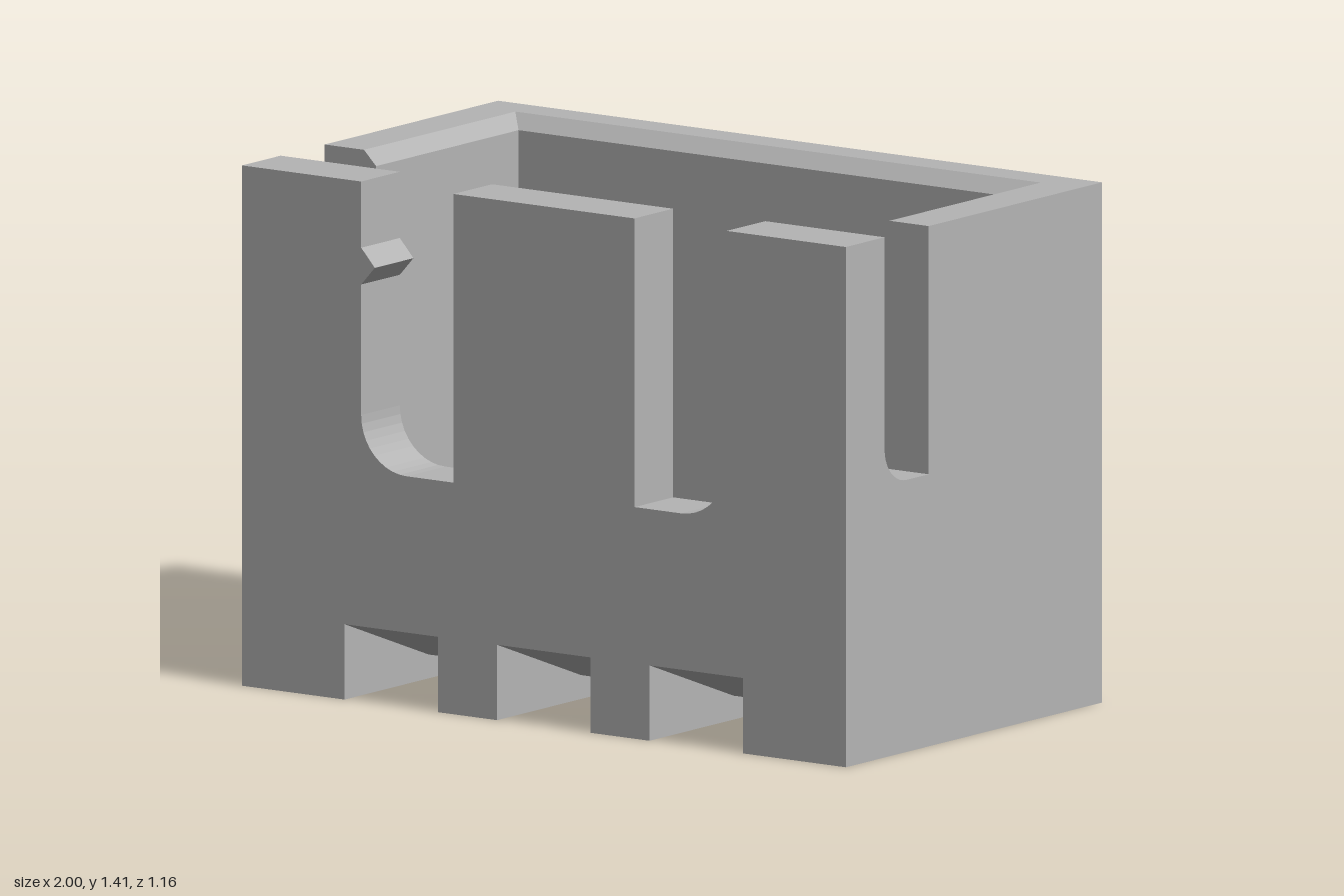
import * as THREE from 'three';

const W = 1, D = 0.58, H = 1.415;            // outer half width, half depth, height
const IN_X = 0.83, IN_BACK = -0.44, IN_FRONT = 0.405; // cavity limits
const CHAMFER = 0.04, FLOOR = 0.4, NOTCH = 0.205;
const HOLES = [-0.505, 0, 0.505];
const HOLE_W = 0.065, HOLE_Z0 = 0.035, HOLE_Z1 = 0.17;

// Points of a quarter-circle fillet
function arc(cx, cy, r, from, to, n = 10) {
  return Array.from({ length: n + 1 }, (_, i) => {
    const a = from + (to - from) * i / n;
    return [cx + r * Math.cos(a), cy + r * Math.sin(a)];
  });
}
const outline = (pts) => new THREE.Shape(pts.map(([x, y]) => new THREE.Vector2(x, y)));
const mirrored = (half) => [...half, ...half.map(([x, y]) => [-x, y]).reverse()];
const rectPts = (x0, x1, y0, y1) => [[x0, y0], [x1, y0], [x1, y1], [x0, y1]];
const extrude = (shape, depth) => new THREE.ExtrudeGeometry(shape, { depth, bevelEnabled: false });

// Outline in x,y extruded from z0 to z1
const alongZ = (pts, z0, z1) => extrude(outline(pts), z1 - z0).translate(0, 0, z0);
// Outline in z,y extruded from x0 to x1
const alongX = (pts, x0, x1) => extrude(outline(pts), x1 - x0).rotateY(-Math.PI / 2).translate(x1, 0, 0);

// Chamfered U-shaped rim: one cross-section per station, lofted and capped
function rimGeometry() {
  const y0 = H - CHAMFER;
  const section = (sx, back) => [
    [W, y0, -D], [W, H, -D],
    [IN_X + CHAMFER, H, IN_BACK - CHAMFER], [IN_X, y0, IN_BACK],
  ].map(([x, y, z]) => [sx * x, y, back ? z : 0.205]);
  const rings = [section(1, false), section(1, true), section(-1, true), section(-1, false)];
  const pos = [];
  const quad = (a, b, c, d) => [a, b, c, a, c, d].forEach((p) => pos.push(...p));
  for (let i = 0; i < 3; i++) {
    for (let j = 0; j < 4; j++) {
      const k = (j + 1) % 4;
      quad(rings[i][j], rings[i + 1][j], rings[i + 1][k], rings[i][k]);
    }
  }
  quad(...rings[0]);
  quad(...[...rings[3]].reverse());
  const g = new THREE.BufferGeometry();
  g.setAttribute('position', new THREE.Float32BufferAttribute(pos, 3));
  g.computeVertexNormals();
  return g;
}

export function createModel() {
  const model = new THREE.Group();
  model.name = 'connectorHousing';
  const grey = new THREE.MeshStandardMaterial({ color: 0xb4b4b4, side: THREE.DoubleSide });
  grey.name = 'grey plastic';
  const add = (name, geometry, parent = model) => {
    const mesh = new THREE.Mesh(geometry, grey);
    mesh.name = name;
    parent.add(mesh);
  };

  // Bottom notches shared by the front and back walls
  const notches = [
    [W, 0], [0.66, 0], [0.66, NOTCH], [0.35, NOTCH], [0.35, 0],
    [0.155, 0], [0.155, NOTCH],
  ];

  // Front wall with two latch slots, each with a small tooth
  add('frontWall', alongZ(mirrored([
    [0.3, H], [0.3, 0.63],
    ...arc(0.455, 0.78, 0.15, -Math.PI / 2, 0),
    [0.605, 1.135], [0.56, 1.185], [0.605, 1.235], [0.605, H],
    [W, H], ...notches,
  ]), IN_FRONT, D));

  // Back wall, up to the rim
  add('backWall', alongZ(mirrored([[W, H - CHAMFER], ...notches]), -D, IN_BACK));

  // Side walls with a slot next to the front wall
  const side = [
    [IN_BACK, 0], [IN_FRONT, 0],
    ...arc(IN_FRONT - 0.1, 0.84, 0.1, 0, -Math.PI / 2),
    [0.205, 0.74], [0.205, H - CHAMFER], [IN_BACK, H - CHAMFER],
  ];
  add('leftWall', alongX(side, IN_X, W));
  add('rightWall', alongX(side, -W, -IN_X));
  add('chamferedRim', rimGeometry());

  // Floor pierced by the pin holes
  const floor = outline(rectPts(-IN_X, IN_X, IN_BACK, IN_FRONT));
  for (const x of HOLES) {
    floor.holes.push(outline(rectPts(x - HOLE_W, x + HOLE_W, HOLE_Z0, HOLE_Z1)));
  }
  add('floor', extrude(floor, FLOOR - NOTCH).rotateX(Math.PI / 2).translate(0, FLOOR, 0));

  // Rails under the floor
  for (const [x0, x1] of [[-IN_X, -0.66], [-0.35, -0.155], [0.155, 0.35], [0.66, IN_X]]) {
    add('bottomRail', alongX(rectPts(IN_BACK, IN_FRONT, 0, NOTCH), x0, x1));
  }

  // Sloped ramps in the notches, split around each pin hole
  const low = 0.065;
  const ramp = [[-D, NOTCH], [0, low], [0.2, low], [D, NOTCH]];
  const rampBack = [[-D, NOTCH], [0, low], [HOLE_Z0, low], [HOLE_Z0, NOTCH]];
  const rampFront = [[HOLE_Z1, NOTCH], [HOLE_Z1, low], [0.2, low], [D, NOTCH]];
  HOLES.forEach((x) => {
    const group = new THREE.Group();
    group.name = 'pinRamp';
    const half = 0.155;
    add('rampSide', alongX(ramp, x - half, x - HOLE_W), group);
    add('rampSide', alongX(ramp, x + HOLE_W, x + half), group);
    add('rampBack', alongX(rampBack, x - HOLE_W, x + HOLE_W), group);
    add('rampFront', alongX(rampFront, x - HOLE_W, x + HOLE_W), group);
    model.add(group);
  });
  return model;
}
